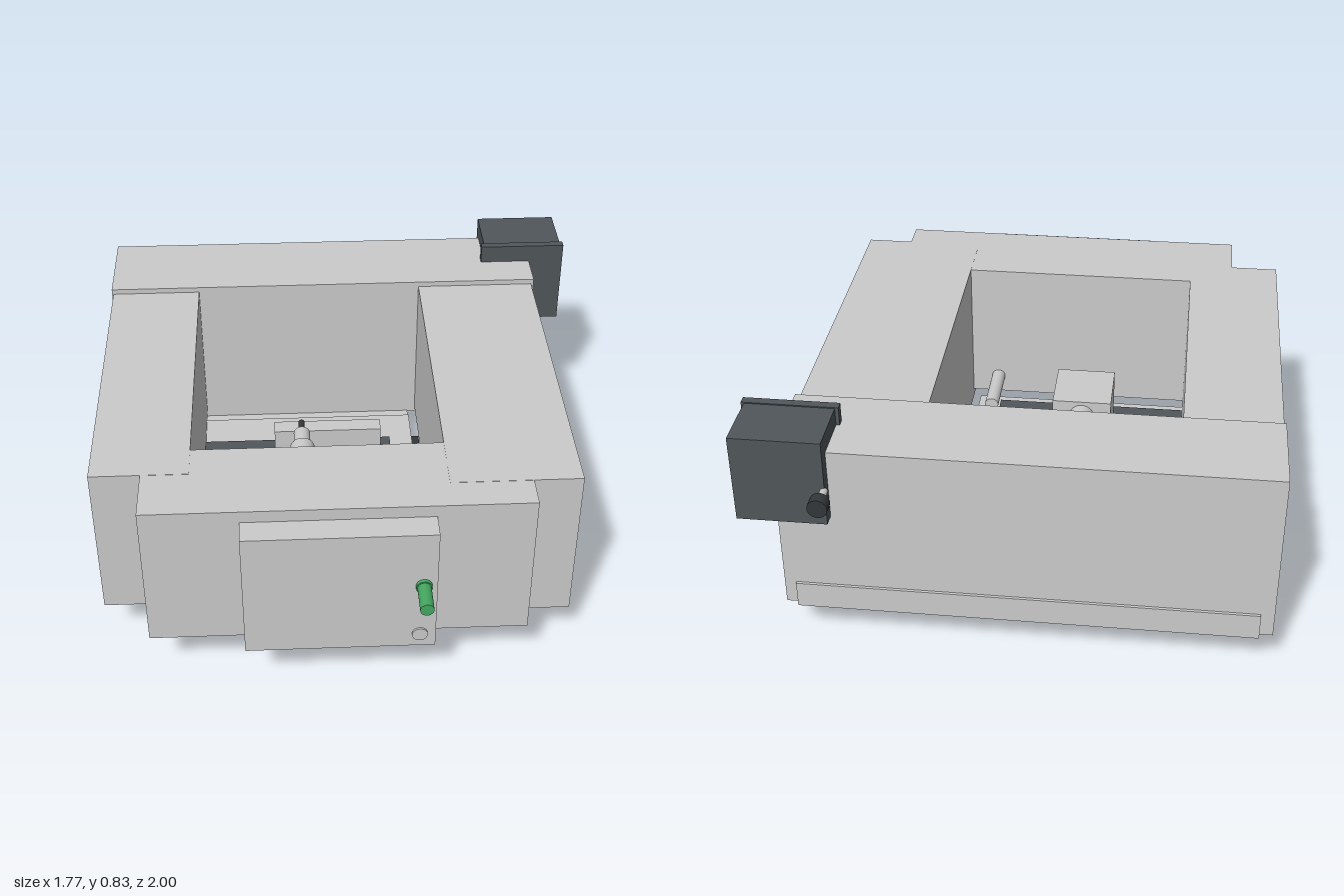
import * as THREE from 'three';

const mat = (color, extra = {}) => new THREE.MeshStandardMaterial({ color, ...extra });
const grey = mat(0xcccccc);
const dark = mat(0x50565a);
const black = mat(0x34373a);
const green = mat(0x45a862);
const red = mat(0x9c3038);

export function createModel() {
  const root = new THREE.Group();

  const add = (parent, name, geometry, material) => {
    const mesh = new THREE.Mesh(geometry, material);
    mesh.name = name;
    parent.add(mesh);
    return mesh;
  };
  const group = (name) => {
    const g = new THREE.Group();
    g.name = name;
    root.add(g);
    return g;
  };
  // Box given by its limits along each axis
  const box = (parent, name, [x0, x1], [y0, y1], [z0, z1], material = grey) => {
    const m = add(parent, name, new THREE.BoxGeometry(x1 - x0, y1 - y0, z1 - z0), material);
    m.position.set((x0 + x1) / 2, (y0 + y1) / 2, (z0 + z1) / 2);
    return m;
  };
  // Cylinder lying along z
  const rod = (parent, name, x, y, r, [z0, z1], material = grey) => {
    const g = new THREE.CylinderGeometry(r, r, z1 - z0, 32).rotateX(Math.PI / 2);
    const m = add(parent, name, g, material);
    m.position.set(x, y, (z0 + z1) / 2);
    return m;
  };
  // Rectangular frame standing in the x-facing side
  const sideFrame = (parent, name, x, depth, [y0, y1], [z0, z1], w) => {
    const rect = (P, d) => [[z0 + d, y0 + d], [z1 - d, y0 + d], [z1 - d, y1 - d], [z0 + d, y1 - d]]
      .reduce((p, [z, y], i) => (i ? p.lineTo(-z, y) : p.moveTo(-z, y), p), new P());
    const s = rect(THREE.Shape, 0);
    s.holes.push(rect(THREE.Path, w));
    const g = new THREE.ExtrudeGeometry(s, { depth, bevelEnabled: false }).rotateY(Math.PI / 2);
    add(parent, name, g, grey).position.x = x;
  };

  // Housing: four walls round an open well
  const housing = group('housing');
  box(housing, 'rightWall', [-0.88, -0.55], [0.17, 0.745], [-0.53, 0.595]);
  box(housing, 'leftWall', [0.3, 0.74], [0.17, 0.745], [-0.53, 0.68]);
  box(housing, 'frontWall', [-0.71, 0.575], [0.2, 0.744], [0.465, 0.795]);
  box(housing, 'rearHousing', [-0.885, 0.75], [0.145, 0.765], [-0.86, -0.53]);
  box(housing, 'rearStrip', [-0.84, 0.71], [0.135, 0.23], [-0.87, -0.855]);
  box(housing, 'frontPanel', [-0.385, 0.25], [0.215, 0.7], [0.795, 0.885]);

  // Framed hatch with a small latch on the side
  const hatch = group('sideHatch');
  sideFrame(hatch, 'hatchFrame', 0.74, 0.014, [0.3, 0.585], [-0.135, 0.34], 0.025);
  box(hatch, 'hatchDoor', [0.735, 0.747], [0.328, 0.562], [-0.106, 0.31]);
  const latch = add(hatch, 'hatchLatch', new THREE.CylinderGeometry(0.009, 0.009, 0.035, 20).rotateZ(Math.PI / 2), grey);
  latch.position.set(0.76, 0.345, 0.1);

  // Front controls
  const controls = group('frontControls');
  rod(controls, 'greenKnob', 0.205, 0.485, 0.023, [0.885, 1], green);
  rod(controls, 'greenKnobCollar', 0.205, 0.485, 0.027, [0.88, 0.898], green);
  rod(controls, 'pushRod', 0.197, 0.27, 0.026, [0.245, 0.892]);

  // Motor at the rear corner with its hand knob
  const motor = group('motor');
  box(motor, 'motorBody', [0.572, 0.873], [0.515, 0.828], [-0.905, -0.695], dark);
  box(motor, 'motorPlate', [0.56, 0.883], [0.5, 0.832], [-0.7, -0.67], dark);
  rod(motor, 'motorShaft', 0.575, 0.645, 0.013, [-0.96, -0.9]);
  rod(motor, 'motorKnob', 0.575, 0.645, 0.033, [-1, -0.957], black);

  // Instrument lying in the well
  const probe = group('instrument');
  box(probe, 'instrumentBody', [-0.28, -0.06], [0.2, 0.41], [0.08, 0.31]);
  rod(probe, 'instrumentBarrel', -0.17, 0.35, 0.046, [-0.04, 0.08]);
  rod(probe, 'instrumentNeck', -0.17, 0.35, 0.031, [-0.13, -0.04]);
  rod(probe, 'instrumentTip', -0.17, 0.35, 0.012, [-0.2, -0.13], black);
  box(probe, 'rearBar', [-0.275, 0.14], [0.19, 0.28], [-0.3, -0.235]);

  // Base plate and floor of the well
  const base = group('base');
  box(base, 'basePlate', [-0.665, 0.27], [0.11, 0.175], [-0.465, 0.455]);
  box(base, 'baseRearLip', [-0.66, 0.27], [0.125, 0.15], [-0.68, -0.46]);
  box(base, 'wellFloor', [-0.55, 0.18], [0.17, 0.195], [-0.295, 0.4], dark);
  box(base, 'floorStop', [0.2, 0.3], [0.1, 0.16], [-0.34, -0.26], black);

  // Dark trays under the base, divided by a light rail
  const trays = group('underTrays');
  for (const [i, x0] of [-0.63, -0.195].entries()) {
    box(trays, 'tray' + (i + 1), [x0, x0 + 0.417], [0.088, 0.112], [-0.39, 0.43], black);
    box(trays, 'trayWindow' + (i + 1), [x0 + 0.03, x0 + 0.31], [0.078, 0.09], [-0.33, 0.1], dark);
  }
  box(trays, 'dividerRail', [-0.212, -0.196], [0.075, 0.112], [-0.38, 0.4]);
  box(trays, 'railTab', [-0.18, -0.165], [0.04, 0.07], [-0.335, -0.24], dark);
  box(trays, 'railTabStem', [-0.178, -0.167], [0.065, 0.09], [-0.3, -0.27], dark);

  // Lower head with stepped dark cover and small indicators
  const head = group('lowerHead');
  box(head, 'headBlock', [0.095, 0.49], [0.055, 0.172], [-0.26, 0.315]);
  box(head, 'headCover', [0.135, 0.45], [0.032, 0.056], [-0.2, 0.3], black);
  box(head, 'headCoverStep', [0.15, 0.42], [0.022, 0.034], [-0.13, 0.28], dark);
  box(head, 'headWindow', [0.17, 0.34], [0.004, 0.024], [0.13, 0.27], black);
  [[0.24, -0.04, grey], [0.3, -0.1, green], [0.37, -0.05, green], [0.43, -0.1, grey]].forEach(([x, z, m], i) => {
    const c = add(head, 'indicator' + (i + 1), new THREE.CylinderGeometry(0.011, 0.011, 0.03, 16), m);
    c.position.set(x, i ? 0.02 : 0.015, z);
  });

  // Red markers under the wall
  const markers = group('redMarkers');
  box(markers, 'markerPlate', [-0.8, -0.69], [0.162, 0.172], [-0.18, 0.13], red);
  box(markers, 'markerStrip', [-0.78, -0.6], [0.162, 0.172], [0.49, 0.51], red);

  return root;
}
